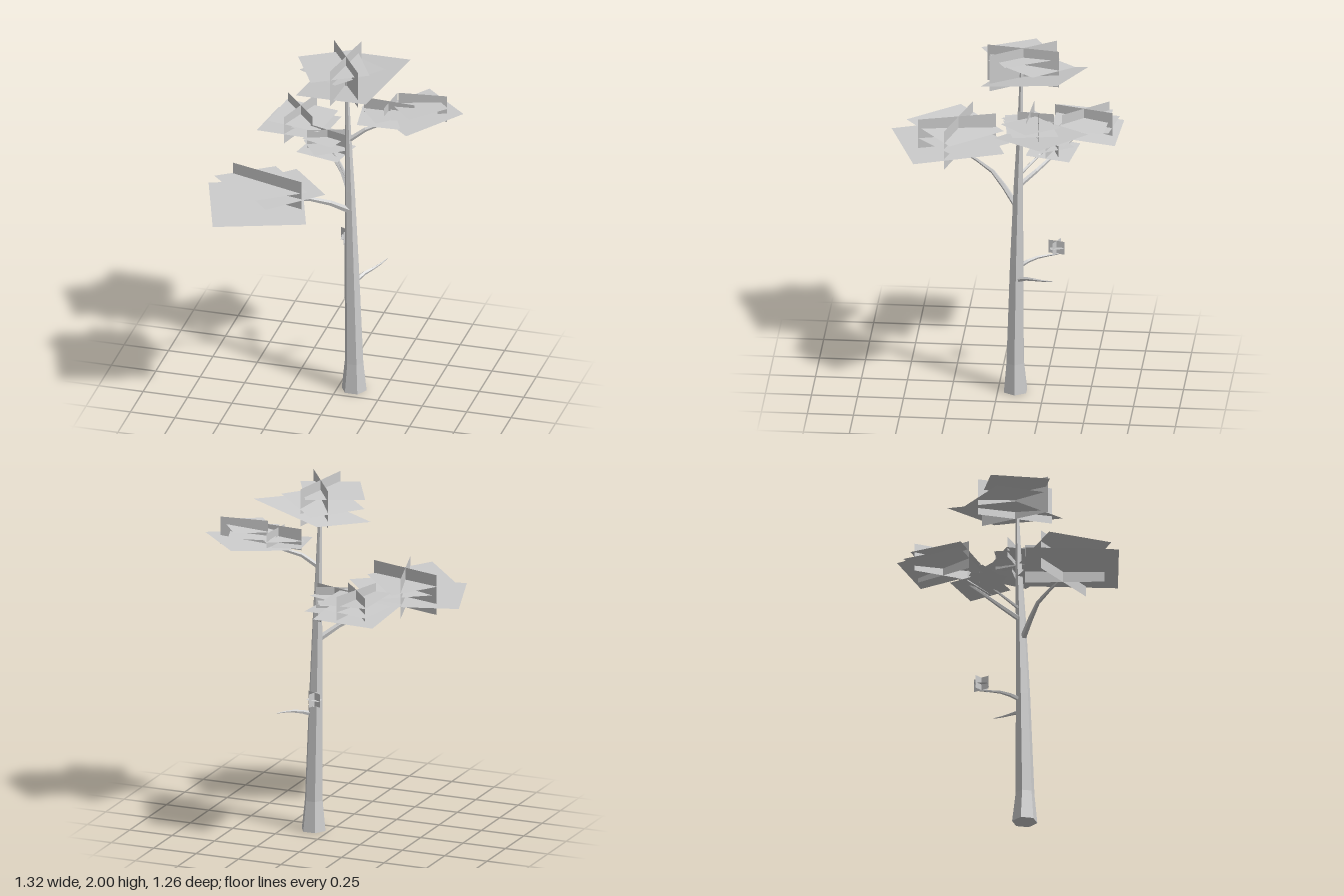
import * as THREE from 'three';

const grey = new THREE.MeshStandardMaterial({ color: 0xcccccc, flatShading: true, side: THREE.DoubleSide });
grey.name = 'pale grey';

function meshFrom(name, positions, index) {
  const g = new THREE.BufferGeometry();
  g.setAttribute('position', new THREE.Float32BufferAttribute(positions, 3));
  g.setIndex(index);
  const flat = g.toNonIndexed();
  flat.computeVertexNormals();
  const mesh = new THREE.Mesh(flat, grey);
  mesh.name = name;
  return mesh;
}

// Tapered stem through level rings; each ring is [x, y, z, radius]
function trunk(name, rings, sides = 6) {
  const pos = [], idx = [], n = rings.length;
  for (const [x, y, z, r] of rings)
    for (let i = 0; i < sides; i++) {
      const a = (i / sides) * Math.PI * 2;
      pos.push(x + r * Math.cos(a), y, z - r * Math.sin(a));
    }
  for (let k = 0; k < n - 1; k++)
    for (let i = 0; i < sides; i++) {
      const a = k * sides + i, b = k * sides + (i + 1) % sides;
      idx.push(a, b, b + sides, a, b + sides, a + sides);
    }
  for (let i = 1; i < sides - 1; i++) {
    const t = (n - 1) * sides;
    idx.push(0, i + 1, i, t, t + i, t + i + 1);
  }
  return meshFrom(name, pos, idx);
}

// Tapered branch along a curve, narrowing from r0 to r1
function branch(name, points, r0, r1, sides = 5) {
  const curve = new THREE.CatmullRomCurve3(points.map(p => new THREE.Vector3(...p)));
  const steps = 4;
  const g = new THREE.TubeGeometry(curve, steps, 1, sides, false);
  const p = g.attributes.position, v = new THREE.Vector3();
  for (let i = 0; i < p.count; i++) {
    const t = Math.floor(i / (sides + 1)) / steps;
    const c = curve.getPointAt(t);
    v.fromBufferAttribute(p, i).sub(c).multiplyScalar(r0 + (r1 - r0) * t).add(c);
    p.setXYZ(i, v.x, v.y, v.z);
  }
  g.computeVertexNormals();
  const mesh = new THREE.Mesh(g, grey);
  mesh.name = name;
  return mesh;
}

// Square leaf sheet: centre, half diagonal (dx, dz), slopes along x and z
function sheet([cx, cy, cz, dx, dz, sx = 0, sz = 0]) {
  const pos = [];
  for (const [x, z] of [[dx, dz], [dz, -dx], [-dx, -dz], [-dz, dx]])
    pos.push(cx + x, cy + sx * x + sz * z, cz + z);
  return meshFrom('leafSheet', pos, [0, 1, 2, 0, 2, 3]);
}

// Upright leaf card between two ground points
function card([x0, z0, x1, z1, y0, y1]) {
  return meshFrom('leafCard', [x0, y0, z0, x1, y0, z1, x1, y1, z1, x0, y1, z0], [0, 1, 2, 0, 2, 3]);
}

const clusters = {
  frontRightLeaves: {
    sheets: [[-0.34, 1.27, 0.31, 0.16, -0.32, 0, -0.02], [-0.233, 1.325, 0.215, 0.253, 0.015, 0.04, 0],
      [-0.33, 1.37, 0.27, 0.265, 0.007, -0.04, 0.08]],
    cards: [[-0.51, 0.19, -0.09, 0.31, 1.21, 1.435], [-0.36, 0.05, -0.24, 0.465, 1.21, 1.435]],
  },
  backRightLeaves: {
    sheets: [[-0.32, 1.385, -0.445, 0.19, -0.17, 0, 0.1], [-0.327, 1.415, -0.466, 0.15, -0.11, 0.03, 0],
      [-0.29, 1.45, -0.42, 0.16, -0.134, -0.06, 0.03]],
    cards: [[-0.415, -0.56, -0.21, -0.32, 1.345, 1.505], [-0.26, -0.59, -0.355, -0.27, 1.345, 1.505]],
  },
  innerRightLeaves: {
    sheets: [[-0.12, 1.34, -0.28, 0.14, -0.1, -0.05, 0.05], [-0.11, 1.375, -0.26, 0.14, 0.03, 0.04, 0],
      [-0.12, 1.41, -0.29, 0.12, -0.06]],
    cards: [[-0.22, -0.32, 0, -0.25, 1.335, 1.455], [-0.22, -0.25, -0.02, -0.32, 1.335, 1.455]],
  },
  leftLeaves: {
    sheets: [[0.4, 1.645, -0.263, 0.255, -0.007, 0.09, -0.07], [0.426, 1.715, -0.207, 0.165, 0.014, 0.09, 0],
      [0.395, 1.685, -0.205, 0.158, 0.085, 0.04, 0.05]],
    cards: [[0.3, -0.235, 0.565, -0.265, 1.61, 1.765]],
  },
  innerLeftLeaves: {
    sheets: [[0.22, 1.635, -0.17, 0.13, 0.1, -0.05, 0], [0.25, 1.67, -0.18, 0.15, 0.02, 0.05, 0]],
    cards: [[0.115, -0.2, 0.405, -0.18, 1.61, 1.73], [0.25, -0.12, 0.27, -0.32, 1.62, 1.72]],
  },
  topLeaves: {
    sheets: [[0.055, 1.843, -0.195, 0.28, -0.15, 0.2, -0.12], [0, 1.895, -0.175, 0.235, -0.025, 0.1, 0.08],
      [-0.03, 1.942, -0.112, 0.067, -0.22, 0.03, 0]],
    cards: [[-0.085, -0.305, 0.15, 0.04, 1.79, 2], [0.065, -0.33, 0, 0.065, 1.79, 2]],
  },
  sproutLeaves: {
    sheets: [[-0.007, 0.81, -0.31, 0.04, 0.03, 0.1, -0.1]],
    cards: [[-0.05, -0.33, 0.035, -0.29, 0.775, 0.85], [-0.02, -0.265, 0.005, -0.355, 0.775, 0.85]],
  },
};

export function createModel() {
  const tree = new THREE.Group();
  tree.name = 'tree';

  // Leaning six-sided trunk with a flared foot
  tree.add(trunk('trunk', [[0.09, 0, -0.095, 0.07], [0.09, 0.17, -0.093, 0.052], [0.075, 0.75, -0.1, 0.04],
    [0.062, 1.2, -0.108, 0.028], [0.05, 1.52, -0.117, 0.018], [0.04, 1.86, -0.122, 0.009]]));

  // Branches
  tree.add(
    branch('frontRightBranch', [[0.055, 1.09, -0.09], [-0.03, 1.155, -0.02], [-0.13, 1.205, 0.06], [-0.26, 1.26, 0.24]], 0.018, 0.006),
    branch('backRightBranch', [[0.05, 1.2, -0.115], [-0.01, 1.26, -0.2], [-0.1, 1.32, -0.29], [-0.25, 1.39, -0.42]], 0.015, 0.005),
    branch('innerRightBranch', [[0.045, 1.26, -0.115], [-0.02, 1.32, -0.19], [-0.12, 1.38, -0.28]], 0.01, 0.004),
    branch('leftBranch', [[0.05, 1.5, -0.115], [0.13, 1.56, -0.14], [0.27, 1.61, -0.2], [0.45, 1.655, -0.25]], 0.015, 0.005),
    branch('lowerTwig', [[0.1, 0.66, -0.11], [0.14, 0.685, -0.17], [0.18, 0.695, -0.22], [0.215, 0.705, -0.31]], 0.014, 0.002),
    branch('sproutTwig', [[0.06, 0.72, -0.11], [0.03, 0.755, -0.18], [0.01, 0.765, -0.24], [-0.005, 0.775, -0.32]], 0.014, 0.004),
  );

  // Leaf clusters of stacked sheets crossed by upright cards
  for (const [name, { sheets, cards }] of Object.entries(clusters)) {
    const cluster = new THREE.Group();
    cluster.name = name;
    sheets.forEach(s => cluster.add(sheet(s)));
    cards.forEach(c => cluster.add(card(c)));
    tree.add(cluster);
  }
  return tree;
}
